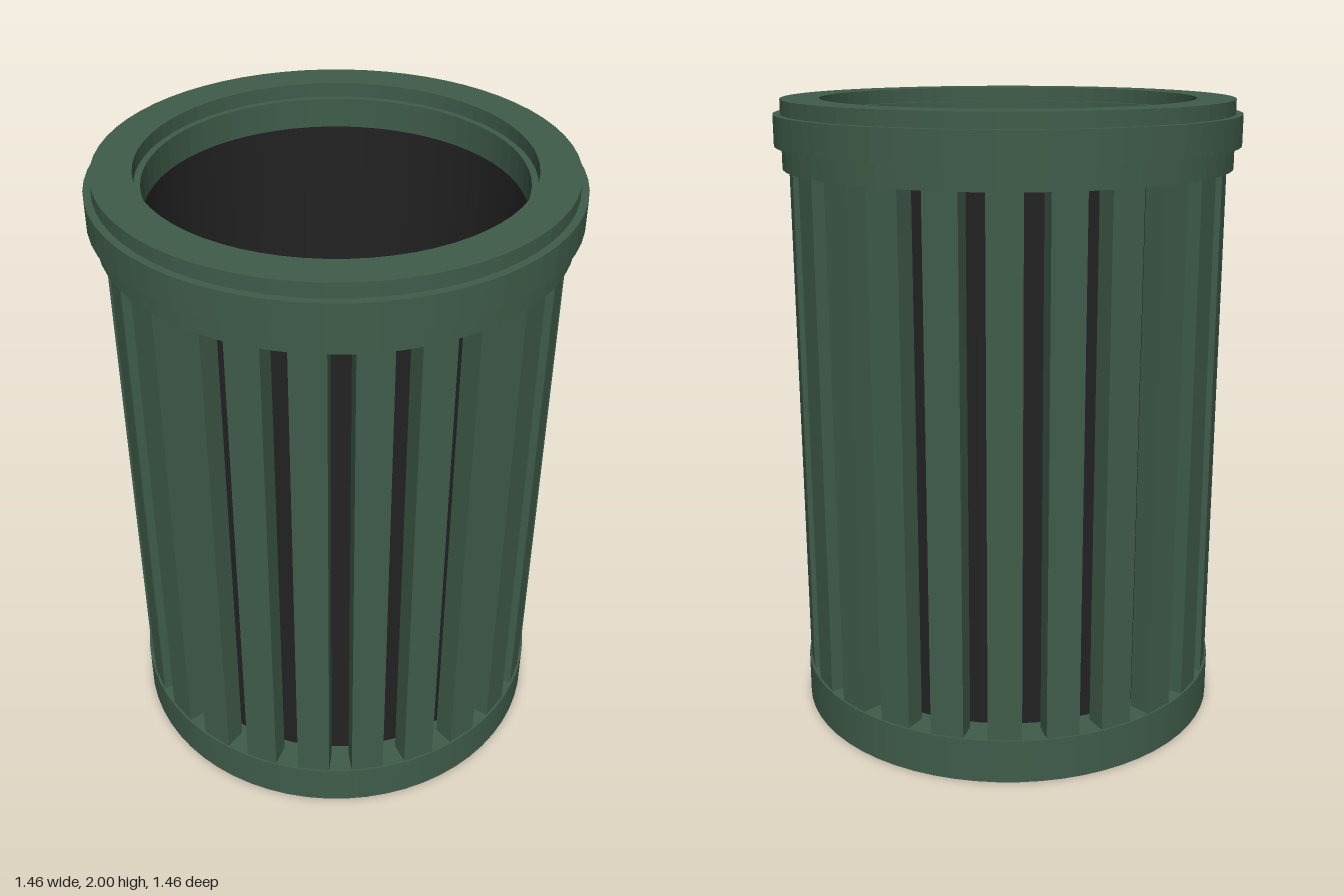
import * as THREE from 'three';

const SEGMENTS = 64;
const green = new THREE.MeshStandardMaterial({ color: 0x3f5c4a });
const dark = new THREE.MeshStandardMaterial({ color: 0x222222, side: THREE.DoubleSide });

function add(parent, name, geometry, material) {
  const mesh = new THREE.Mesh(geometry, material);
  mesh.name = name;
  parent.add(mesh);
  return mesh;
}

// Closed ring with a rectangular section and crisp edges
function ringGeometry(inner, outer, y0, y1) {
  const shape = new THREE.Shape().absarc(0, 0, outer, 0, Math.PI * 2, false);
  shape.holes.push(new THREE.Path().absarc(0, 0, inner, 0, Math.PI * 2, true));
  return new THREE.ExtrudeGeometry(shape, { depth: y1 - y0, bevelEnabled: false, curveSegments: SEGMENTS / 2 })
    .rotateX(-Math.PI / 2)
    .translate(0, y0, 0);
}

export function createModel() {
  const bin = new THREE.Group();
  bin.name = 'slattedBin';

  // Solid foot
  add(bin, 'base', new THREE.CylinderGeometry(0.69, 0.69, 0.14, SEGMENTS), green).position.y = 0.07;

  // Dark inner bucket: open wall and floor
  const liner = new THREE.Group();
  liner.name = 'liner';
  bin.add(liner);
  add(liner, 'linerWall', new THREE.CylinderGeometry(0.583, 0.583, 1.72, SEGMENTS, 1, true), dark).position.y = 1.0;
  add(liner, 'linerFloor', new THREE.CircleGeometry(0.583, SEGMENTS).rotateX(-Math.PI / 2), dark).position.y = 0.15;

  // Upright slats around the bucket
  const slats = new THREE.Group();
  slats.name = 'slats';
  bin.add(slats);
  const slatCount = 24;
  const slatGeometry = new THREE.BoxGeometry(0.104, 1.67, 0.07).translate(0, 0.965, 0.647);
  for (let i = 0; i < slatCount; i++) {
    add(slats, 'slat', slatGeometry, green).rotation.y = (i / slatCount) * Math.PI * 2;
  }

  // Rim: a wider band between two narrower ones
  const rim = new THREE.Group();
  rim.name = 'rim';
  bin.add(rim);
  add(rim, 'rimLower', ringGeometry(0.585, 0.705, 1.79, 1.86), green);
  add(rim, 'rimBand', ringGeometry(0.565, 0.728, 1.86, 1.955), green);
  add(rim, 'rimUpper', ringGeometry(0.585, 0.705, 1.955, 2.0), green);

  return bin;
}
